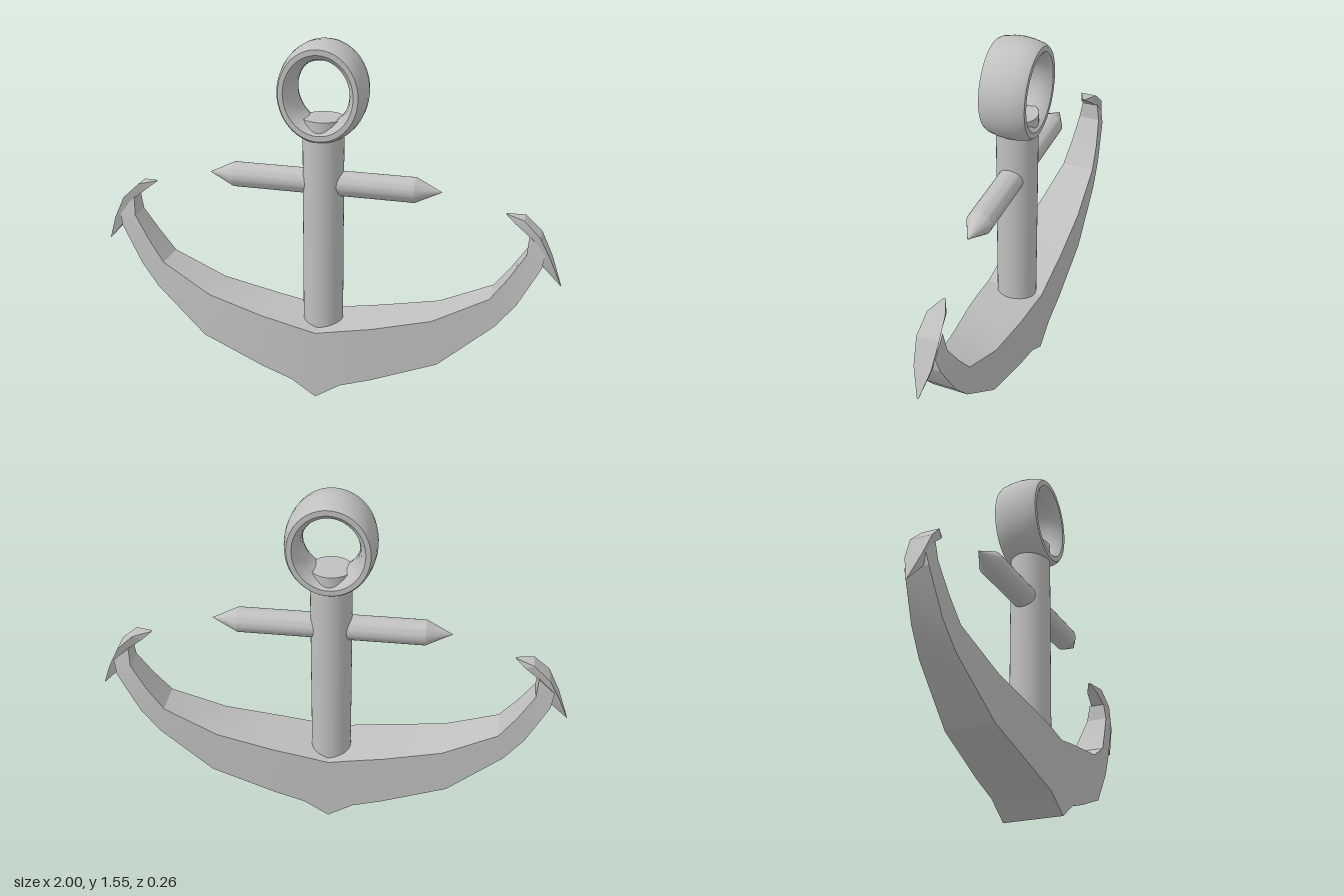
import * as THREE from 'three';
import { toCreasedNormals } from 'three/addons/utils/BufferGeometryUtils.js';

const iron = new THREE.MeshStandardMaterial({ color: 0xc0c0c0 });
iron.name = 'iron grey';
const Z = -0.01; // the shank sits slightly behind centre

// Section: [upperX, upperY, lowerX, lowerY, zFront, zBack, lowerInset]
const mirror = (sections) =>
  sections.map(([a, b, c, d, ...rest]) => [-a, b, -c, d, ...rest]).reverse();

// Loft four-cornered sections, listed with x rising, into a closed solid
function loft(sections) {
  const rings = sections.map(([ux, uy, lx, ly, f, b, inset = 0]) => [
    [ux, uy, f], [ux, uy, b], [lx, ly, b + inset], [lx, ly, f - inset],
  ]);
  const pos = [];
  const quad = (a, b, c, d) => pos.push(...a, ...b, ...c, ...a, ...c, ...d);
  for (let i = 0; i < rings.length - 1; i++) {
    for (let k = 0; k < 4; k++) {
      const n = (k + 1) % 4;
      quad(rings[i][k], rings[i + 1][k], rings[i + 1][n], rings[i][n]);
    }
  }
  quad(...rings[0]);
  quad(...[...rings[rings.length - 1]].reverse());
  const geo = new THREE.BufferGeometry();
  geo.setAttribute('position', new THREE.Float32BufferAttribute(pos, 3));
  return toCreasedNormals(geo, 0.3);
}

export function createModel() {
  const group = new THREE.Group();
  const add = (name, geo) => {
    const mesh = new THREE.Mesh(geo, iron);
    mesh.name = name;
    group.add(mesh);
    return mesh;
  };

  // Shank
  add('shank', new THREE.CylinderGeometry(0.086, 0.086, 1.03, 40)).position.set(0, 0.715, Z);

  // Stock with pointed ends
  const stock = [[0, -0.5], [0.053, -0.39], [0.053, 0.39], [0, 0.5]]
    .map(([r, y]) => new THREE.Vector2(r, y));
  const stockGeo = toCreasedNormals(new THREE.LatheGeometry(stock, 32), 0.4);
  stockGeo.rotateZ(-Math.PI / 2);
  add('stock', stockGeo).position.set(0, 0.95, Z);

  // Deep oval ring with bulging outer and inner walls
  const profile = [
    [0.165, -0.095], [0.188, -0.095], [0.198, -0.08], [0.207, -0.04], [0.21, 0],
    [0.207, 0.04], [0.198, 0.08], [0.188, 0.095], [0.165, 0.095],
    [0.145, 0.075], [0.134, 0.04], [0.131, 0], [0.134, -0.04], [0.145, -0.075], [0.165, -0.095],
  ].map(([r, y]) => new THREE.Vector2(r, y));
  const ringGeo = new THREE.LatheGeometry(profile, 56);
  ringGeo.rotateX(Math.PI / 2);
  ringGeo.scale(0.88, 1, 1);
  add('ring', toCreasedNormals(ringGeo, 0.6)).position.set(0, 1.34, Z);

  // Curved arms, tapering towards the flukes
  const arm = [
    [0.1, 0.33, 0.11, 0.07, 0.127, -0.127],
    [0.24, 0.355, 0.24, 0.11, 0.118, -0.127],
    [0.49, 0.41, 0.52, 0.21, 0.085, -0.12],
    [0.72, 0.52, 0.75, 0.4, 0.04, -0.108],
    [0.79, 0.615, 0.83, 0.5, 0.025, -0.1],
    [0.855, 0.72, 0.92, 0.67, 0.012, -0.085],
    [0.86, 0.8, 0.93, 0.735, 0.0, -0.072],
  ];
  add('arms', loft([...mirror(arm), [0, 0.31, 0, 0, 0.13, -0.127], ...arm]));

  // Leaf-shaped flukes, from the inner tip round to the outer barb
  const fluke = [
    [0.76, 0.876, 0.762, 0.872, -0.03, -0.04],
    [0.835, 0.865, 0.8, 0.843, 0.0, -0.072, 0.012],
    [0.905, 0.8, 0.862, 0.795, 0.012, -0.078, 0.015],
    [0.955, 0.7, 0.92, 0.672, 0.004, -0.066, 0.012],
    [1.0, 0.585, 0.997, 0.586, -0.025, -0.031],
  ];
  add('leftFluke', loft(fluke));
  add('rightFluke', loft(mirror(fluke)));

  return group;
}
